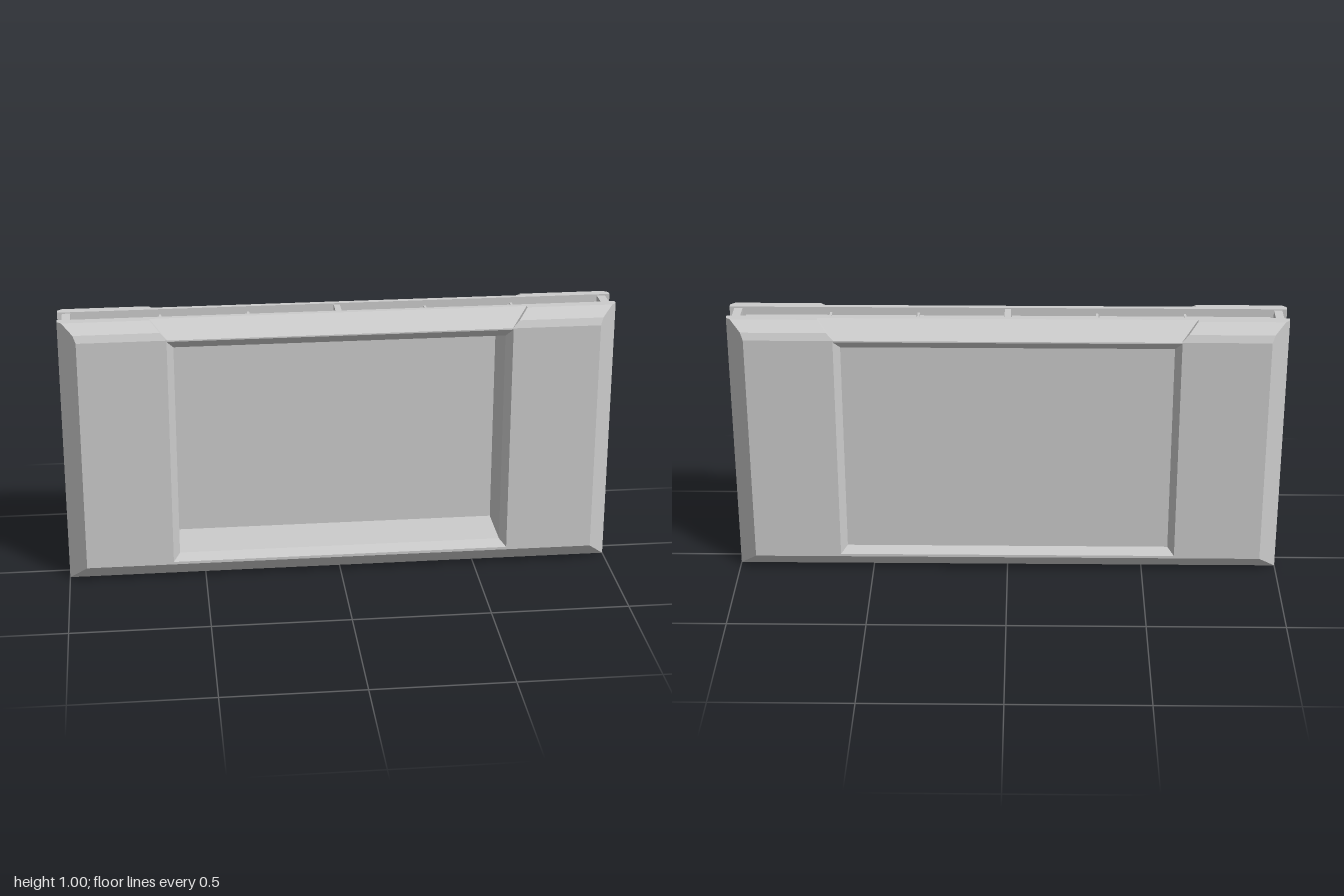
import * as THREE from 'three';
import { ConvexGeometry } from 'three/addons/geometries/ConvexGeometry.js';

const material = new THREE.MeshStandardMaterial({ color: 0xcccccc, flatShading: true });

function add(parent, name, geometry, x = 0, y = 0, z = 0, mat = material) {
  const mesh = new THREE.Mesh(geometry, mat);
  mesh.name = name;
  mesh.position.set(x, y, z);
  parent.add(mesh);
  return mesh;
}

// Joins rectangular rings [halfWidth, bottom, top, z] into a continuous frame surface.
function frameGeometry(rings) {
  const positions = [];
  const index = [];
  for (const [w, b, t, z] of rings) {
    positions.push(-w, b, z, w, b, z, w, t, z, -w, t, z);
  }
  for (let r = 0; r < rings.length - 1; r++) {
    for (let i = 0; i < 4; i++) {
      const j = (i + 1) % 4;
      const a = r * 4 + i, c = r * 4 + j;
      index.push(a, c, c + 4, a, c + 4, a + 4);
    }
  }
  const indexed = new THREE.BufferGeometry();
  indexed.setAttribute('position', new THREE.Float32BufferAttribute(positions, 3));
  indexed.setIndex(index);
  const geometry = indexed.toNonIndexed();
  geometry.computeVertexNormals();
  return geometry;
}

// Raised shoulder over a top corner, with mitred ends.
function shoulderGeometry(side) {
  const profile = [[0.125, 0.94], [0.115, 0.966], [0.076, 1], [0.06, 1]];
  const points = [];
  for (const [z, y] of profile) {
    points.push(new THREE.Vector3(side * (0.615 + (y - 0.94)), y, z));
    points.push(new THREE.Vector3(side * (1.06 - z), y, z));
  }
  return new ConvexGeometry(points);
}

export function createModel() {
  const model = new THREE.Group();
  model.name = 'framedPanel';

  // Core half, outer lip, bevel, face, window bevel and window lining
  const shell = frameGeometry([
    [0.97, 0.03, 0.96, 0],
    [0.97, 0.03, 0.96, 0.04],
    [1, 0, 1, 0.04],
    [1, 0, 1, 0.06],
    [0.935, 0.065, 0.94, 0.125],
    [0.618, 0.075, 0.935, 0.125],
    [0.594, 0.1, 0.905, 0.1],
    [0.594, 0.1, 0.905, 0],
  ]);
  for (const [name, turn] of [['frontHalf', 0], ['backHalf', Math.PI]]) {
    const half = new THREE.Group();
    half.name = name;
    half.rotation.y = turn;
    add(half, 'frame', shell);
    add(half, 'leftShoulder', shoulderGeometry(1));
    add(half, 'rightShoulder', shoulderGeometry(-1));
    model.add(half);
  }

  // Thin panel closing the window at the back
  const thin = material.clone();
  thin.side = THREE.DoubleSide;
  add(model, 'backPanel', new THREE.PlaneGeometry(1.188, 0.805), 0, 0.5025, -0.1, thin);

  // Fittings in the top channel
  const channel = new THREE.Group();
  channel.name = 'topChannel';
  model.add(channel);
  const plate = new THREE.BoxGeometry(0.302, 0.012, 0.07);
  const screw = new THREE.CylinderGeometry(0.015, 0.015, 0.006, 16);
  const divider = new THREE.BoxGeometry(0.008, 0.02, 0.08);
  for (const side of [-1, 1]) {
    for (const x of [0.165, 0.48, 0.79]) {
      add(channel, 'coverPlate', plate, side * x, 0.966, 0);
      for (const d of [-0.1, 0.1]) add(channel, 'screw', screw, side * (x + d), 0.975, 0);
    }
    for (const x of [0.32, 0.635]) add(channel, 'divider', divider, side * x, 0.97, 0);
    add(channel, 'endTab', new THREE.BoxGeometry(0.03, 0.028, 0.08), side * 0.968, 0.981, 0);
  }
  add(channel, 'centreDivider', new THREE.BoxGeometry(0.022, 0.035, 0.08), 0, 0.9775, 0);

  return model;
}
